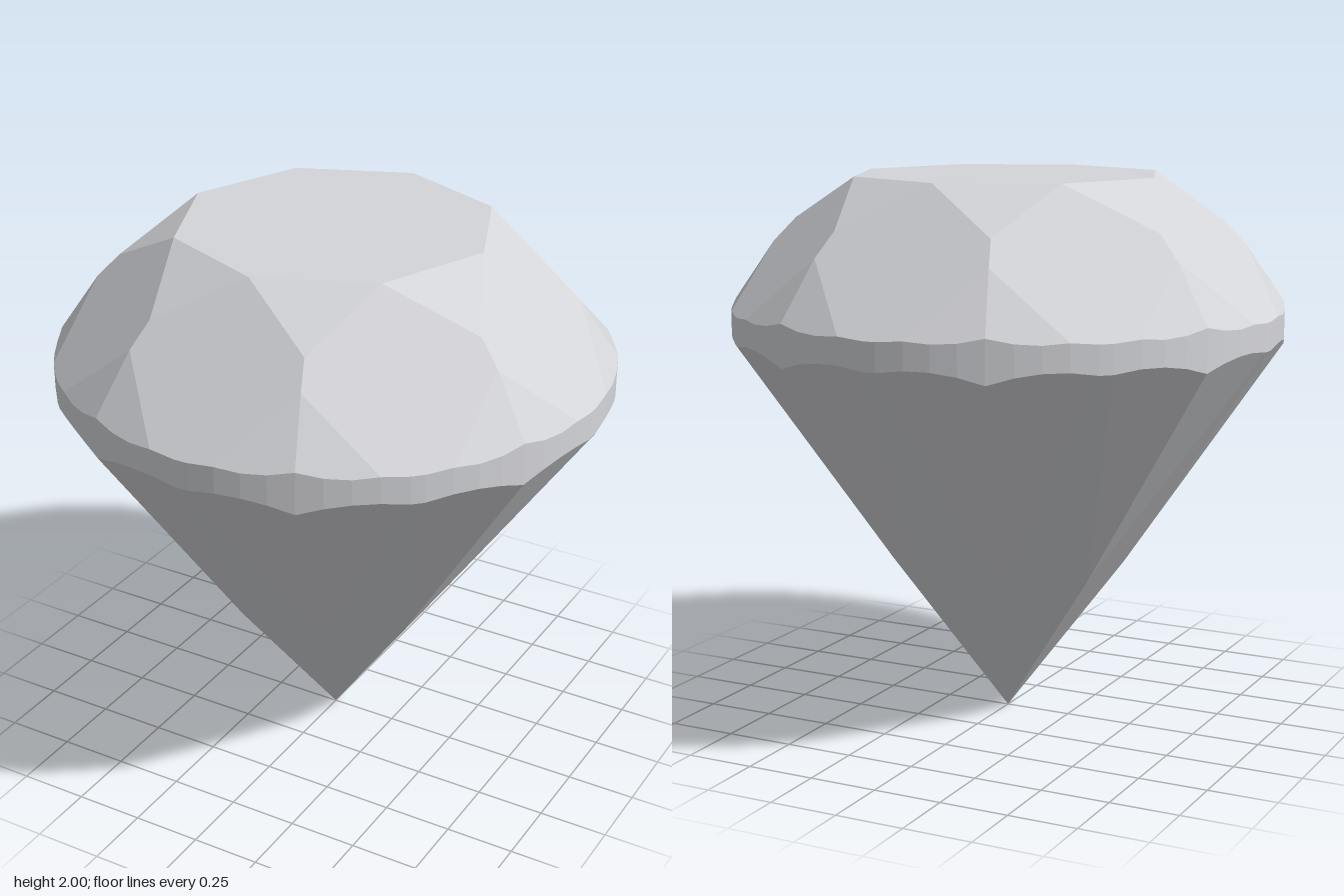
import * as THREE from 'three';

const STEP = Math.PI / 4; // eightfold symmetry
const RAD = Math.PI / 180;
const CORE = new THREE.Vector3(0, 1.3, 0);

// Point from an angle (0 faces the front), a radius and a height
const at = (deg, r, y) =>
  new THREE.Vector3(r * Math.sin(deg * RAD), y, r * Math.cos(deg * RAD));

// Flat-shaded geometry from convex polygons, each wound to face away from the core
function facets(polygons) {
  const points = [];
  for (const poly of polygons) {
    for (let i = 1; i < poly.length - 1; i++) {
      const tri = [poly[0], poly[i], poly[i + 1]];
      const normal = new THREE.Triangle(...tri).getNormal(new THREE.Vector3());
      if (normal.dot(tri[0].clone().sub(CORE)) < 0) tri.reverse();
      points.push(...tri);
    }
  }
  const geometry = new THREE.BufferGeometry().setFromPoints(points);
  geometry.computeVertexNormals();
  return geometry;
}

// Repeat a set of polygons around the vertical axis
function around(polygons) {
  const axis = new THREE.Vector3(0, 1, 0);
  const all = [];
  for (let k = 0; k < 8; k++)
    for (const poly of polygons)
      all.push(poly.map((p) => p.clone().applyAxisAngle(axis, k * STEP)));
  return all;
}

// Height of the plane through three points, on the unit cylinder at an angle
function planeHeight(a, b, c, deg) {
  const { normal, constant } = new THREE.Plane().setFromCoplanarPoints(a, b, c);
  const p = at(deg, 1, 0);
  return -(normal.x * p.x + normal.z * p.z + constant) / normal.y;
}

export function createModel() {
  const group = new THREE.Group();
  const stone = new THREE.MeshStandardMaterial({ color: 0xd4d5d9, flatShading: true });
  stone.name = 'pale grey stone';
  const add = (name, polygons) => {
    const mesh = new THREE.Mesh(facets(polygons), stone);
    mesh.name = name;
    group.add(mesh);
  };

  // Slopes of the main crown and pavilion planes, by distance along the facet axis
  const crownY = (d) => 2 - 1.116 * (d - 0.57);
  const pavilionY = (d) => 1.42 * d;
  const half = Math.cos(22.5 * RAD);

  // Key corners of one eighth
  const tip = at(0, 0.57, 2);
  const star = (s) => at(22.5 * s, 0.774, crownY(0.774 * half));
  const fork = (s) => at(22.5 * s, 0.857, crownY(0.857 * half));
  const lowFork = (s) => at(22.5 * s, 0.431, pavilionY(0.431 * half));
  const culet = at(0, 0, 0);

  // Scalloped girdle edges, where the facet planes cut the cylinder
  const KITE = 7, MAIN = 1.4;
  const kiteY = (deg) => crownY(Math.cos(deg * RAD));
  const mainY = (deg) => pavilionY(Math.cos(deg * RAD));
  const top = (deg) => {
    const a = Math.abs(deg);
    return at(deg, 1, a <= KITE ? kiteY(a)
      : planeHeight(fork(1), at(22.5, 1, 1.545), at(KITE, 1, kiteY(KITE)), a));
  };
  const bottom = (deg) => {
    const a = Math.abs(deg);
    return at(deg, 1, a <= MAIN ? mainY(a)
      : planeHeight(lowFork(1), at(22.5, 1, 1.393), at(MAIN, 1, mainY(MAIN)), a));
  };
  const side = [MAIN, KITE, 12.2, 17.3, 22.5];
  const angles = [...side.map((a) => -a).reverse(), ...side];
  const inner = angles.filter((a) => Math.abs(a) <= KITE);
  const outer = side.filter((a) => a >= KITE);

  // Crown
  add('table', [Array.from({ length: 8 }, (_, k) => at(45 * k, 0.57, 2))]);
  add('starFacets', around([[tip, star(1), at(45, 0.57, 2)]]));
  add('kiteFacets', around([
    [tip, star(-1), fork(-1), ...inner.map(top), fork(1), star(1)],
  ]));
  add('upperGirdleFacets', around([1, -1].map((s) =>
    [fork(s), ...outer.map((a) => top(a * s))])));

  // Girdle band
  add('girdle', around(angles.slice(1).map((a, i) =>
    [bottom(angles[i]), bottom(a), top(a), top(angles[i])])));

  // Pavilion
  add('lowerGirdleFacets', around([1, -1].map((s) =>
    [lowFork(s), ...side.map((a) => bottom(a * s))])));
  add('pavilionMainFacets', around([
    [culet, lowFork(-1), bottom(-MAIN), bottom(MAIN), lowFork(1)],
  ]));

  return group;
}
